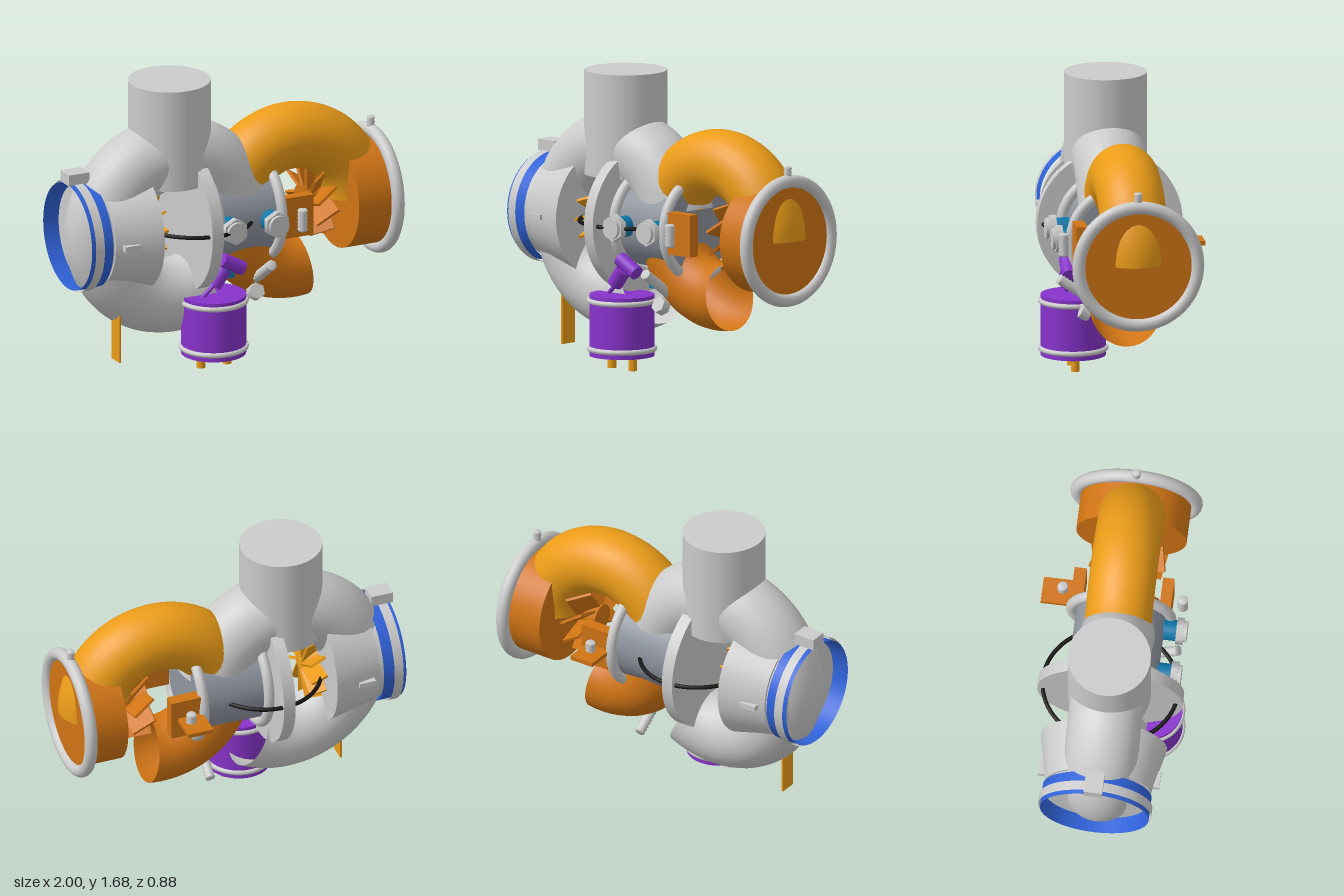
import * as THREE from 'three';

const CY = 0.83, CZ = 0.02; // main shaft axis, along x
const mat = (color) => new THREE.MeshStandardMaterial({ color, side: THREE.DoubleSide });
const grey = mat(0xcccccc), steel = mat(0x8f959f), orange = mat(0xd07414), amber = mat(0xeb9c18);
const purple = mat(0x8833cc), blue = mat(0x2f62d8), teal = mat(0x0f78aa), black = mat(0x151515);

export function createModel() {
  const model = new THREE.Group();

  const add = (name, geo, m, x = 0, y = 0, z = 0) => {
    const mesh = new THREE.Mesh(geo, m);
    mesh.name = name;
    mesh.position.set(x, y, z);
    model.add(mesh);
    return mesh;
  };
  const box = (name, m, x0, x1, y0, y1, z0, z1) =>
    add(name, new THREE.BoxGeometry(x1 - x0, y1 - y0, z1 - z0), m, (x0 + x1) / 2, (y0 + y1) / 2, (z0 + z1) / 2);
  // Drum or cone on the shaft axis, radius r0 at x0 and r1 at x1
  const drum = (name, m, x0, x1, r0, r1 = r0, open = false) =>
    add(name, new THREE.CylinderGeometry(r1, r0, x1 - x0, 64, 1, open).rotateZ(-Math.PI / 2), m, (x0 + x1) / 2, CY, CZ);
  // Round ring on the shaft axis
  const ring = (name, m, x, R, r) =>
    add(name, new THREE.TorusGeometry(R, r, 16, 64).rotateY(Math.PI / 2), m, x, CY, CZ);
  // Upright cylinder
  const post = (name, m, x, y0, y1, z, r, sides = 32) =>
    add(name, new THREE.CylinderGeometry(r, r, y1 - y0, sides), m, x, (y0 + y1) / 2, z);
  // Bent pipe in the xy plane, between two angles in degrees
  const bend = (name, m, x, y, z, R, r, a0, a1) => {
    const geo = new THREE.TorusGeometry(R, r, 32, 72, THREE.MathUtils.degToRad(a1 - a0));
    return add(name, geo.rotateZ(THREE.MathUtils.degToRad(a0)), m, x, y, z);
  };
  // Cylinder between two points
  const rod = (name, m, a, b, r, sides = 24) => {
    const p = new THREE.Vector3(...a), q = new THREE.Vector3(...b), d = q.clone().sub(p);
    const mesh = add(name, new THREE.CylinderGeometry(r, r, d.length(), sides), m);
    mesh.position.copy(p).add(q).multiplyScalar(0.5);
    mesh.quaternion.setFromUnitVectors(new THREE.Vector3(0, 1, 0), d.normalize());
    return mesh;
  };
  // Ridged profile for screw threads, turned about y
  const thread = (length, r) => {
    const n = Math.round(length / 0.011), pts = [new THREE.Vector2(0, -length / 2)];
    for (let i = 0; i <= n; i++) pts.push(new THREE.Vector2(i % 2 ? r : r * 0.82, (i / n - 0.5) * length));
    pts.push(new THREE.Vector2(0, length / 2));
    return new THREE.LatheGeometry(pts, 24);
  };

  // Compressor scroll and outlet
  bend('scroll', grey, -0.35, 0.81, 0.025, 0.425, 0.21, 12, 298);
  post('outletPipe', grey, -0.345, 1.08, 1.675, 0.025, 0.235, 64);

  // Compressor inlet
  drum('inletCone', grey, -0.83, -0.55, 0.3, 0.36);
  drum('inletNeck', grey, -0.9, -0.82, 0.285);
  drum('inletSleeve', blue, -0.985, -0.85, 0.31, 0.31, true);
  drum('inletClamp', grey, -0.965, -0.91, 0.322, 0.322, true);
  box('clampBlock', grey, -1, -0.87, 1.145, 1.21, -0.04, 0.065);
  for (const s of [-1, 1])
    box('coneRib', grey, -0.79, -0.69, 0.81, 0.84, CZ + s * 0.325 - 0.02, CZ + s * 0.325 + 0.02);

  // Wheels: a hub with a circle of tilted blades
  const wheel = (name, m, x, length, R, count, lean) => {
    const g = new THREE.Group();
    g.name = name;
    g.position.set(x, CY, CZ);
    const hub = new THREE.Mesh(new THREE.CylinderGeometry(0.04, 0.08, length, 24).rotateZ(-Math.PI / 2), m);
    hub.name = 'hub';
    g.add(hub);
    for (let i = 0; i < count; i++) {
      const arm = new THREE.Group();
      arm.rotation.x = (i / count) * Math.PI * 2;
      const blade = new THREE.Mesh(new THREE.BoxGeometry(length, R - 0.04, 0.016), m);
      blade.name = 'blade';
      blade.position.y = (R + 0.04) / 2;
      blade.rotation.y = lean;
      arm.add(blade);
      g.add(arm);
    }
    model.add(g);
  };
  wheel('compressorWheel', amber, -0.5, 0.1, 0.215, 12, 0.35);
  wheel('turbineWheel', orange, 0.56, 0.15, 0.215, 10, 0.6);

  // Centre housing
  drum('backPlate', grey, -0.275, -0.205, 0.415);
  drum('centreHousing', steel, -0.21, 0.24, 0.255);
  for (const x of [-0.165, 0.23]) ring('housingRing', grey, x, 0.285, 0.03);

  // Turbine pipes and end drum
  bend('upperElbow', amber, 0.415, CY, CZ, 0.39, 0.19, 0, 178);
  add('elbowEnd', new THREE.CircleGeometry(0.19, 40).rotateX(Math.PI / 2), amber, 0.805, CY, CZ);
  bend('lowerElbow', orange, 0.41, CY, CZ, 0.38, 0.19, 182, 279);
  drum('turbineDrum', orange, 0.7, 0.942, 0.315);
  ring('drumRing', grey, 0.935, 0.34, 0.037);
  add('ringStud', thread(0.11, 0.024), grey, 0.93, 1.2, CZ);

  // Side blocks with studs
  box('frontBlock', orange, 0.25, 0.43, 0.71, 0.95, 0.235, 0.3);
  box('rearBlock', orange, 0.25, 0.43, 0.71, 0.95, -0.27, -0.2);
  box('rearShelf', orange, 0.24, 0.39, 0.815, 0.84, -0.44, -0.26);
  for (const z of [0.36, -0.325]) add('blockStud', thread(0.13, 0.03), grey, 0.33, CY, z);

  // Oil fittings
  for (const x of [-0.1, 0.165]) {
    rod('fittingSleeve', teal, [x, CY, 0.22], [x, CY, 0.35], 0.06);
    rod('fittingNut', grey, [x, CY, 0.345], [x, CY, 0.385], 0.078, 6).material = grey;
    rod('fittingCap', grey, [x, CY, 0.38], [x, CY, 0.405], 0.06);
  }
  rod('drainFitting', teal, [-0.02, 0.47, 0.1], [-0.02, 0.6, 0.1], 0.05);

  // Hose looping around the housing
  const loop = [];
  for (let i = 0; i < 32; i++) {
    const a = (i / 32) * Math.PI * 2;
    loop.push(new THREE.Vector3(-0.21 + 0.345 * Math.cos(a), CY, 0.015 + 0.385 * Math.sin(a)));
  }
  add('hose', new THREE.TubeGeometry(new THREE.CatmullRomCurve3(loop, true), 96, 0.012, 10, true), black);

  // Actuator canister
  const ax = -0.17, az = 0.235;
  post('canister', purple, ax, 0.08, 0.43, az, 0.185, 64);
  for (const y of [0.12, 0.395])
    add('canisterBand', new THREE.TorusGeometry(0.185, 0.015, 12, 64).rotateX(Math.PI / 2), grey, ax, y, az);
  for (const x of [-0.25, -0.085]) post('canisterPin', amber, x, 0, 0.09, az, 0.025);
  rod('linkRod', purple, [-0.26, 0.42, 0.26], [-0.15, 0.52, 0.27], 0.012);
  rod('lowerLink', purple, [-0.19, 0.49, 0.27], [-0.12, 0.58, 0.27], 0.045);
  rod('upperLink', purple, [-0.14, 0.64, 0.28], [-0.01, 0.57, 0.28], 0.042);

  // Adjusting screw with nut, and the lower tag
  const from = new THREE.Vector3(0.135, 0.26, -0.12), to = new THREE.Vector3(0.135, 0.59, 0.36);
  const dir = to.clone().sub(from);
  const screw = add('adjustingScrew', thread(dir.length(), 0.03), grey);
  screw.position.copy(from).add(to).multiplyScalar(0.5);
  screw.quaternion.setFromUnitVectors(new THREE.Vector3(0, 1, 0), dir.normalize());
  rod('screwNut', grey, [0.11, 0.375, 0.18], [0.11, 0.4, 0.23], 0.048, 6);
  box('tag', amber, -0.727, -0.717, 0.075, 0.42, 0.056, 0.158);

  return model;
}
